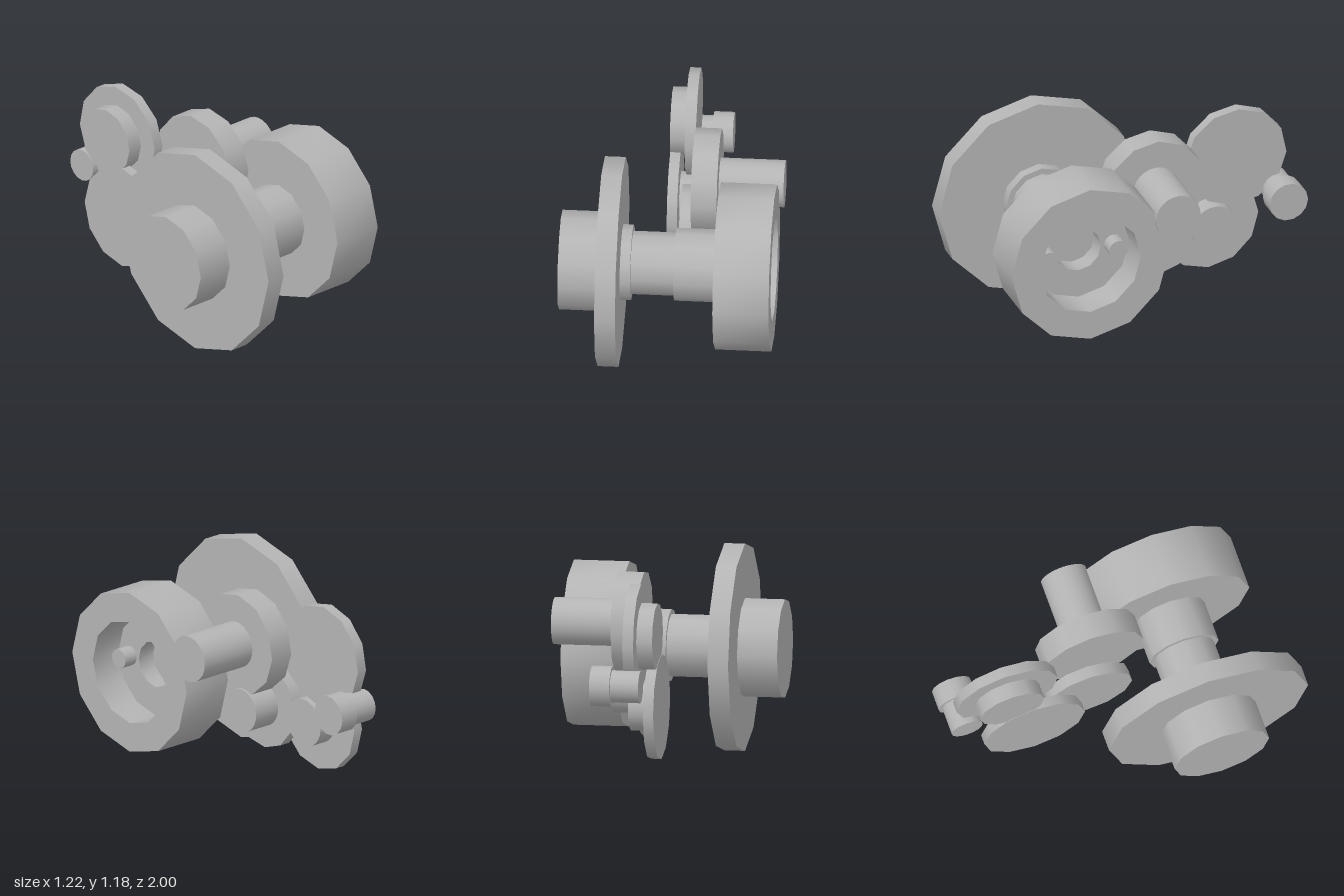
import * as THREE from 'three';
import { toCreasedNormals } from 'three/addons/utils/BufferGeometryUtils.js';

const steel = new THREE.MeshStandardMaterial({ color: 0xb4b4b4 });
steel.name = 'steelGrey';

// Turn a solid made along y so that it lies along x
function layAlongX(geometry, spin = 0) {
  return geometry.rotateY(spin).rotateZ(-Math.PI / 2);
}

// Disc or shaft along x, from x0 to x1
function disc(name, x0, x1, radius, sides = 12, spin = 0) {
  const geometry = new THREE.CylinderGeometry(radius, radius, x1 - x0, sides);
  const mesh = new THREE.Mesh(layAlongX(geometry, spin), steel);
  mesh.name = name;
  mesh.position.x = (x0 + x1) / 2;
  return mesh;
}

// Group of coaxial parts on the axis at (y, z)
function axle(name, y, z, parts) {
  const group = new THREE.Group();
  group.name = name;
  group.position.set(0, y, z);
  group.add(...parts);
  return group;
}

// Drum with a stepped recess in its right-hand face
function recessedDrum() {
  const profile = [
    [0, 0.27], [0.47, 0.27], [0.47, 0.585], [0.3, 0.585],
    [0.3, 0.39], [0.133, 0.39], [0.133, 0.28], [0, 0.28],
  ].map(([r, x]) => new THREE.Vector2(r, x));
  const geometry = toCreasedNormals(new THREE.LatheGeometry(profile, 12), 0.7);
  const mesh = new THREE.Mesh(layAlongX(geometry), steel);
  mesh.name = 'recessedDrum';
  return mesh;
}

export function createModel() {
  const model = new THREE.Group();
  model.name = 'gearTrain';

  // Main shaft with its big wheel and drum
  const main = axle('mainShaft', 0.592, 0.41, [
    disc('endBoss', -0.612, -0.385, 0.28),
    disc('bigWheel', -0.385, -0.268, 0.59),
    disc('wheelCollar', -0.268, -0.21, 0.213),
    disc('shaft', -0.21, 0.032, 0.178),
    disc('drumCollar', 0.032, 0.27, 0.205),
    recessedDrum(),
  ]);
  for (const side of [1, -1]) {
    const pin = disc('drivePin', 0.388, 0.475, 0.056, 16);
    pin.position.z = side * 0.207;
    main.add(pin);
  }

  model.add(
    main,
    // Upper gear and its long pinion
    axle('upperGear', 0.81, -0.103, [
      disc('upperWheel', 0.1, 0.246, 0.295, 12, -0.06),
      disc('upperPinion', 0.246, 0.61, 0.133, 24),
    ]),
    // Lower gear between the main shaft and the back gears
    axle('lowerGear', 0.435, -0.155, [
      disc('lowerWheel', 0.025, 0.092, 0.256, 12, 0.07),
      disc('lowerPinion', 0.092, 0.26, 0.126, 24),
    ]),
    // Low back gear
    axle('backLowerGear', 0.415, -0.507, [
      disc('backLowerWheel', -0.062, -0.004, 0.298, 12),
      disc('backLowerPinion', -0.004, 0.106, 0.138, 24),
    ]),
    // High back gear with its hub on the left-hand wheel face
    axle('backUpperGear', 0.837, -0.638, [
      disc('backUpperHub', -0.06, 0.03, 0.19),
      disc('backUpperWheel', 0.03, 0.092, 0.3, 12, -0.06),
    ]),
    // Small stepped pinion at the rear
    axle('rearPinion', 0.595, -0.887, [
      disc('rearPinionShaft', -0.005, 0.155, 0.092, 16),
      disc('rearPinionHead', 0.155, 0.27, 0.114, 14),
    ]),
  );
  return model;
}
